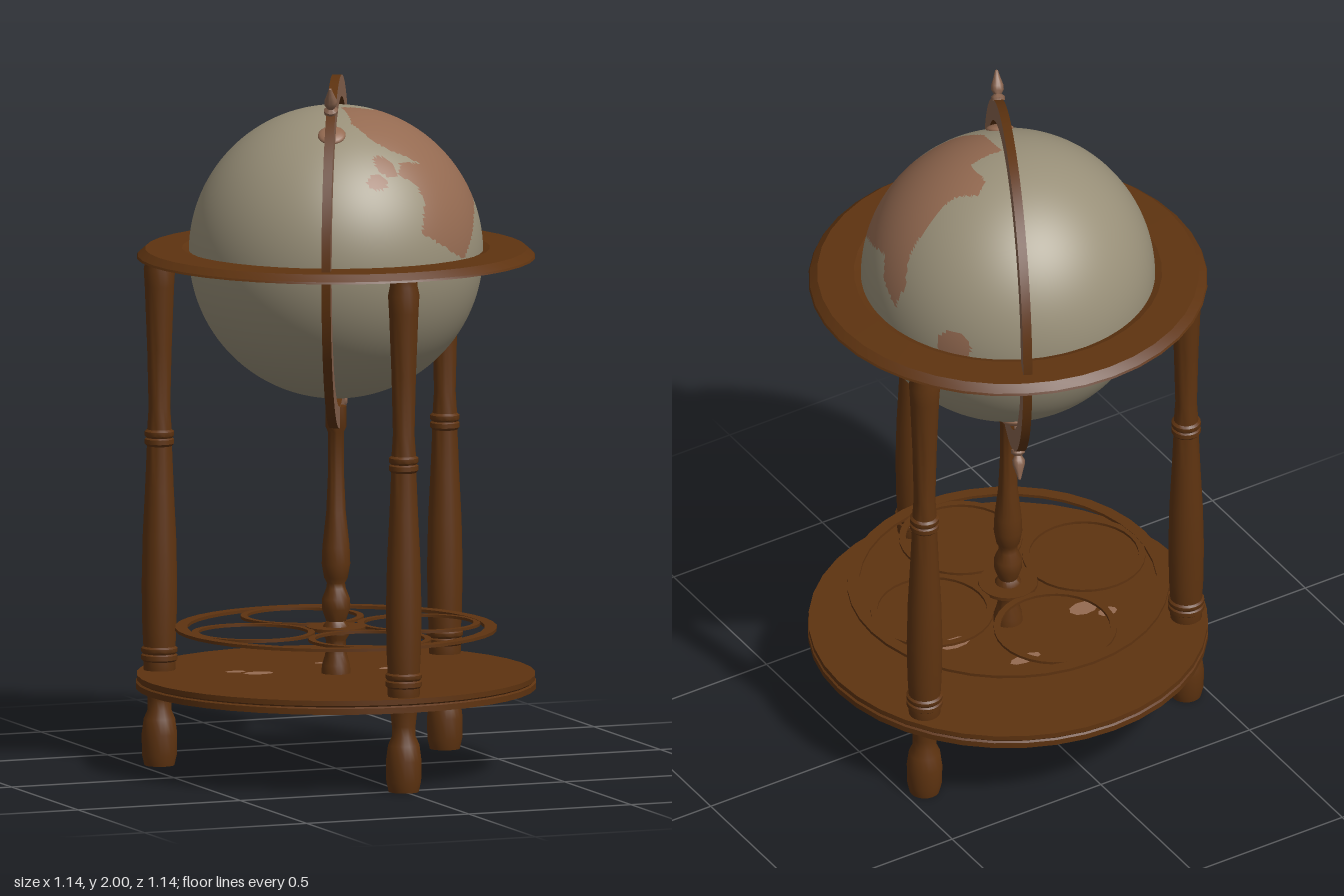
import * as THREE from 'three';
import { toCreasedNormals } from 'three/addons/utils/BufferGeometryUtils.js';

const mat = (name, color) => {
  const m = new THREE.MeshStandardMaterial({ color });
  m.name = name;
  return m;
};

const GLOBE_Y = 1.49, GLOBE_R = 0.42;

export function createModel() {
  const wood = mat('dark wood', 0x5e3310);
  const sea = mat('parchment sea', 0x999079);
  const land = mat('faded land', 0x946a51);
  const brass = mat('old brass', 0x86624d);

  const model = new THREE.Group();
  model.name = 'floorGlobe';

  const add = (name, geometry, material, parent = model) => {
    const mesh = new THREE.Mesh(geometry, material);
    mesh.name = name;
    parent.add(mesh);
    return mesh;
  };
  // Turned part from [radius, height] pairs, listed from the bottom up on the outside
  const turned = (points, segments = 24, crease = 0.6) => toCreasedNormals(
    new THREE.LatheGeometry(points.map(([r, y]) => new THREE.Vector2(r, y)), segments), crease);
  // Flat ring lying level
  const flatRing = (inner, outer, y, h, segments = 40) => turned(
    [[inner, y], [outer, y], [outer, y + h], [inner, y + h], [inner, y]], segments);

  // Horizon ring around the globe
  add('horizonRing', turned([[0.42, 1.475], [0.57, 1.475], [0.567, 1.481], [0.545, 1.5],
    [0.44, 1.502], [0.42, 1.495], [0.42, 1.475]], 40, 0.3), wood);

  // Base shelf
  add('baseShelf', turned([[0, 0.235], [0.572, 0.235], [0.572, 0.252], [0.566, 0.256],
    [0.57, 0.26], [0.57, 0.275], [0, 0.275]], 40, 0.4), wood);

  // Three turned legs
  const legProfile = [[0, 0], [0.043, 0], [0.05, 0.03], [0.051, 0.09], [0.045, 0.135],
    [0.034, 0.16], [0.034, 0.19], [0.039, 0.235], [0.046, 0.28], [0.046, 0.3], [0.052, 0.305],
    [0.052, 0.318], [0.047, 0.322], [0.052, 0.328], [0.052, 0.338], [0.046, 0.343], [0.049, 0.4],
    [0.051, 0.52], [0.048, 0.66], [0.041, 0.8], [0.036, 0.92], [0.042, 0.927], [0.042, 0.94],
    [0.037, 0.944], [0.042, 0.95], [0.042, 0.962], [0.035, 0.968], [0.031, 1.03], [0.035, 1.2],
    [0.042, 1.38], [0.045, 1.43], [0.04, 1.455], [0.04, 1.476]];
  const legGeometry = turned(legProfile, 20, 0.7);
  for (const [name, x, z] of [['frontLeg', 0, 0.51], ['leftLeg', 0.44, -0.255], ['rightLeg', -0.44, -0.255]]) {
    add(name, legGeometry, wood).position.set(x, 0, z);
  }

  // Central column with a cradle for the meridian
  add('centreColumn', turned([[0.042, 0.275], [0.04, 0.3], [0.031, 0.33], [0.028, 0.37], [0.038, 0.385],
    [0.038, 0.41], [0.028, 0.425], [0.04, 0.46], [0.04, 0.49], [0.028, 0.52], [0.026, 0.535],
    [0.034, 0.55], [0.041, 0.59], [0.039, 0.64], [0.028, 0.74], [0.023, 0.85], [0.023, 0.97],
    [0.03, 0.985], [0.03, 1.045], [0, 1.045]], 20, 0.8), wood);

  // Openwork rail above the shelf
  const rail = new THREE.Group();
  rail.name = 'shelfRail';
  model.add(rail);
  add('outerRail', flatRing(0.425, 0.46, 0.4, 0.009), wood, rail);
  add('railHub', flatRing(0.026, 0.085, 0.4, 0.01, 24), wood, rail);
  for (let i = 0; i < 4; i++) {
    const a = i * Math.PI / 2;
    add('railCircle', flatRing(0.157, 0.176, 0.4, 0.008, 32), wood, rail)
      .position.set(Math.sin(a) * 0.255, 0, Math.cos(a) * 0.255);
  }

  // Small worn patches painted on the shelf
  for (const [x, z, w, d] of [[-0.21, -0.07, 0.045, 0.03], [0.06, -0.19, 0.05, 0.02],
    [0.19, -0.02, 0.05, 0.025], [-0.26, -0.12, 0.03, 0.02]]) {
    const patch = add('shelfPatch', new THREE.CircleGeometry(1, 9).scale(w, d, 1).rotateX(-Math.PI / 2), land);
    patch.position.set(x, 0.277, z);
  }

  add('globe', globeGeometry(), [sea, land]).position.y = GLOBE_Y;

  // Upright meridian ring, brass faces and wooden rims
  const shape = new THREE.Shape().absarc(0, 0, 0.505, 0, Math.PI * 2);
  shape.holes.push(new THREE.Path().absarc(0, 0, 0.443, 0, Math.PI * 2, true));
  const ring = new THREE.ExtrudeGeometry(shape, { depth: 0.026, bevelEnabled: false, curveSegments: 48 });
  ring.translate(0, 0, -0.013);
  const meridian = new THREE.Group();
  meridian.name = 'meridian';
  meridian.position.y = GLOBE_Y;
  meridian.rotation.y = Math.atan2(-0.9, -0.43);
  model.add(meridian);
  // Creasing drops no groups on a non-indexed extrusion, so faces and rims keep their colours
  const groups = ring.groups.map(g => ({ ...g }));
  const smoothRing = toCreasedNormals(ring, 0.5);
  smoothRing.clearGroups();
  groups.forEach(g => smoothRing.addGroup(g.start, g.count, g.materialIndex));
  add('meridianRing', smoothRing, [brass, wood], meridian);

  // Tilted axis: a pole cap, pin and finial at each end
  const finial = turned([[0.008, 0.425], [0.008, 0.5], [0.02, 0.502], [0.02, 0.512], [0.011, 0.52],
    [0.018, 0.532], [0.018, 0.545], [0.011, 0.565], [0.004, 0.588], [0, 0.59]], 14, 0.8);
  const cap = new THREE.SphereGeometry(0.04, 20, 12).scale(1, 0.35, 1).translate(0, 0.42, 0);
  for (const flip of [0, Math.PI]) {
    const pole = new THREE.Group();
    pole.name = flip ? 'southPole' : 'northPole';
    pole.rotation.z = flip - Math.PI / 6;
    meridian.add(pole);
    add('poleCap', cap, land, pole);
    add('finial', finial, brass, pole);
  }
  return model;
}

// Sphere whose triangles are sorted into sea and land groups
function globeGeometry() {
  // Coast drawn on a plane facing the land, in hundredths of the globe's radius
  const coast = [[-4, 88], [15, 79], [28, 85], [40, 81], [43, 71], [63, 49], [72, 34], [85, 15],
    [87, -3], [75, 1], [65, 12], [51, 0], [37, -9], [21, -25], [6, -41], [-13, -32], [-34, -18],
    [-24, 3], [-24, 15], [-33, 26], [-25, 34], [-10, 30], [-25, 45], [-29, 56], [-25, 72]];
  const islands = [[-37, 34, 6, 9], [-49, 25, 6, 6]];
  const az = THREE.MathUtils.degToRad(35), el = THREE.MathUtils.degToRad(25);
  const toward = new THREE.Vector3(Math.sin(az) * Math.cos(el), Math.sin(el), Math.cos(az) * Math.cos(el));
  const right = new THREE.Vector3(Math.cos(az), 0, -Math.sin(az));
  const up = new THREE.Vector3().crossVectors(toward, right);
  const eastIsland = new THREE.Vector3(0.8, 0.07, -0.59).normalize();

  const isLand = p => {
    if (p.distanceTo(eastIsland) < 0.12) return true;
    if (p.dot(toward) < 0) return false;
    const x = p.dot(right) * 100, y = p.dot(up) * 100;
    if (islands.some(([cx, cy, w, h]) => ((x - cx) / w) ** 2 + ((y - cy) / h) ** 2 < 1)) return true;
    let inside = false;
    coast.forEach(([x1, y1], i) => {
      const [x2, y2] = coast[(i + 1) % coast.length];
      if ((y1 > y) !== (y2 > y) && x < x1 + (y - y1) * (x2 - x1) / (y2 - y1)) inside = !inside;
    });
    return inside;
  };

  const geometry = new THREE.SphereGeometry(GLOBE_R, 220, 120);
  const index = geometry.index.array, pos = geometry.attributes.position;
  const parts = [[], []];
  const centre = new THREE.Vector3(), v = new THREE.Vector3();
  for (let i = 0; i < index.length; i += 3) {
    centre.set(0, 0, 0);
    for (let k = 0; k < 3; k++) centre.add(v.fromBufferAttribute(pos, index[i + k]));
    parts[isLand(centre.normalize()) ? 1 : 0].push(index[i], index[i + 1], index[i + 2]);
  }
  geometry.setIndex([...parts[0], ...parts[1]]);
  geometry.clearGroups();
  geometry.addGroup(0, parts[0].length, 0);
  geometry.addGroup(parts[0].length, parts[1].length, 1);
  return geometry;
}
